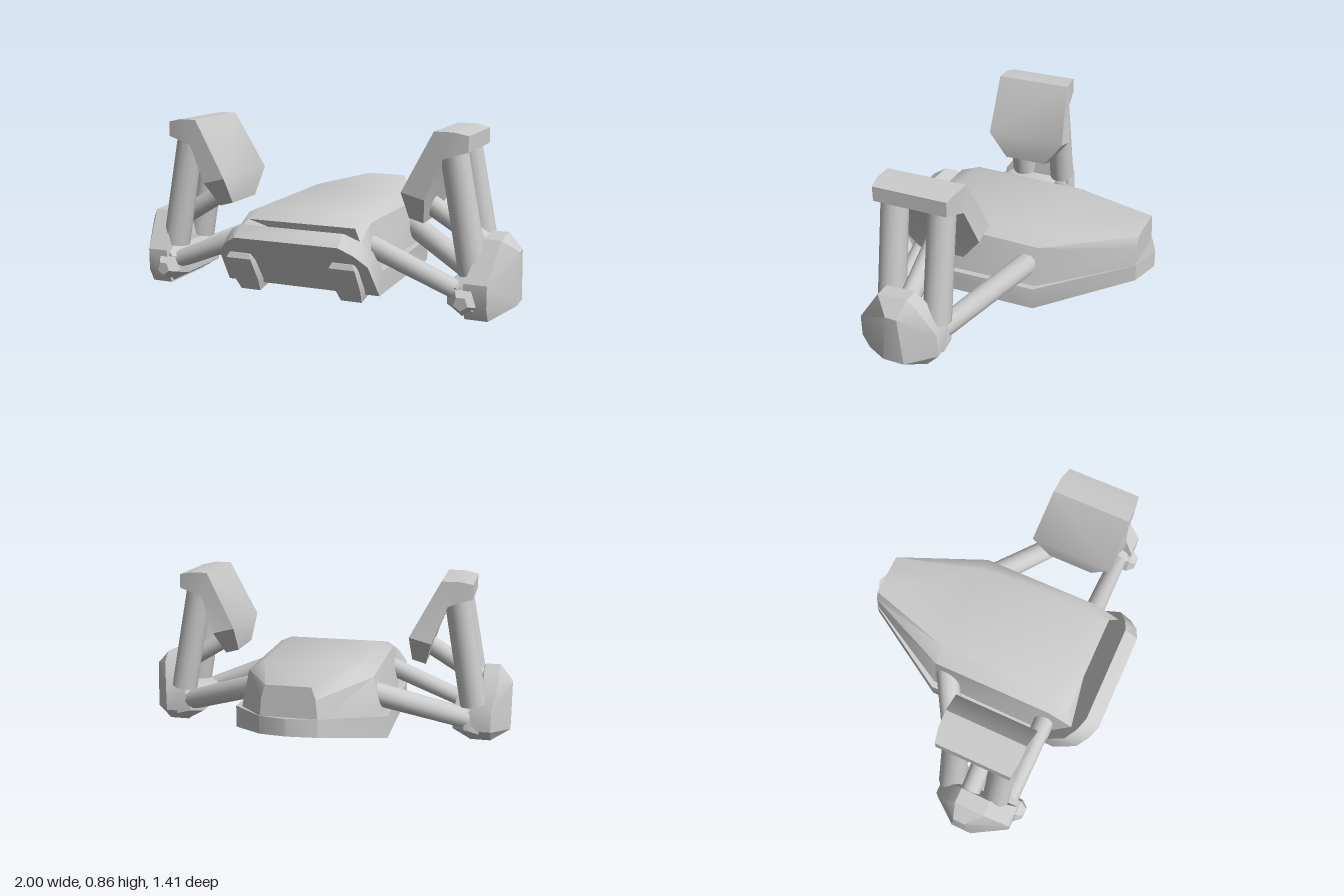
import * as THREE from 'three';
import { toCreasedNormals } from 'three/addons/utils/BufferGeometryUtils.js';
import { ConvexGeometry } from 'three/addons/geometries/ConvexGeometry.js';

const material = new THREE.MeshStandardMaterial({ color: 0xcccccc });

function add(parent, name, geometry, crease = 0.7) {
  const mesh = new THREE.Mesh(toCreasedNormals(geometry, crease), material);
  mesh.name = name;
  parent.add(mesh);
  return mesh;
}

// Skin a row of equal-length cross-sections, cap both ends, and face outwards
function loft(sections) {
  const n = sections[0].length;
  const points = sections.flat().map((p) => new THREE.Vector3(...p));
  const tris = [];
  for (let s = 0; s < sections.length - 1; s++) {
    for (let i = 0; i < n; i++) {
      const a = s * n + i, b = s * n + ((i + 1) % n);
      tris.push([a, b, b + n], [a, b + n, a + n]);
    }
  }
  const last = (sections.length - 1) * n;
  for (let i = 1; i < n - 1; i++) {
    tris.push([0, i + 1, i], [last, last + i, last + i + 1]);
  }
  let volume = 0;
  const cross = new THREE.Vector3();
  for (const [a, b, c] of tris) volume += points[a].dot(cross.crossVectors(points[b], points[c]));
  const index = tris.flatMap(([a, b, c]) => (volume < 0 ? [a, c, b] : [a, b, c]));
  const geometry = new THREE.BufferGeometry().setFromPoints(points);
  geometry.setIndex(index);
  geometry.computeVertexNormals();
  return geometry;
}

// Round bar between two points, optionally tapered
function bar(parent, name, from, to, r0, r1 = r0, sides = 12) {
  const a = new THREE.Vector3(...from), b = new THREE.Vector3(...to);
  const dir = b.clone().sub(a);
  const mesh = add(parent, name, new THREE.CylinderGeometry(r1, r0, dir.length(), sides), 0.9);
  mesh.position.copy(a).add(b).multiplyScalar(0.5);
  mesh.quaternion.setFromUnitVectors(new THREE.Vector3(0, 1, 0), dir.normalize());
  return mesh;
}

function buildBody(model) {
  // Floor slab, folded up at the nose and the tail: half width, lower z, y, upper z, y
  const floor = [
    [0.005, -0.705, 0.235, -0.705, 0.32],
    [0.14, -0.65, 0.22, -0.65, 0.308],
    [0.4, -0.2, 0.09, -0.2, 0.205],
    [0.4, 0.52, 0.085, 0.48, 0.195],
    [0.385, 0.635, 0.25, 0.565, 0.305],
    [0.33, 0.68, 0.308, 0.607, 0.362],
    [0.265, 0.705, 0.345, 0.63, 0.395],
  ];
  add(model, 'floorSlab', loft(floor.map(([w, zb, yb, zt, yt]) => [
    [-w, yb, zb], [w, yb, zb], [w, yt, zt], [-w, yt, zt],
  ])), 0.6);

  // Upper shell: three [half width, y, z] levels per station
  const shell = [
    [[0.36, 0.19, 0.46], [0.325, 0.345, 0.575], [0.28, 0.4, 0.53]],
    [[0.37, 0.19, 0.36], [0.325, 0.415, 0.44], [0.26, 0.445, 0.42]],
    [[0.37, 0.19, -0.2], [0.325, 0.405, -0.2], [0.24, 0.457, -0.2]],
    [[0.14, 0.29, -0.645], [0.13, 0.4, -0.645], [0.11, 0.46, -0.645]],
  ];
  add(model, 'upperShell', loft(shell.map((levels) => [
    ...levels,
    ...levels.map(([w, y, z]) => [-w, y, z]).reverse(),
  ])), 0.8);
}

function buildSide(s) {
  const side = new THREE.Group();
  side.name = s > 0 ? 'leftSide' : 'rightSide';
  const m = ([x, y, z]) => [x * s, y, z];
  const hull = (pts) => new ConvexGeometry(pts.map((p) => new THREE.Vector3(...m(p))));

  // Nose block lying on the sloped front: half width, rear z, y, front z, y
  const nose = [
    [0.055, 0.57, 0.25, 0.655, 0.26],
    [0.068, 0.53, 0.2, 0.665, 0.235],
    [0.068, 0.46, 0.11, 0.59, 0.115],
    [0.055, 0.45, 0.07, 0.545, 0.05],
  ];
  add(side, 'noseBlock', loft(nose.map(([w, zr, yr, zf, yf]) => [
    m([0.267 - w, yr, zr]), m([0.267 + w, yr, zr]),
    m([0.267 + w * 0.95, yf, zf]), m([0.267 - w * 0.95, yf, zf]),
  ])));

  // Struts from the body to the foot
  bar(side, 'frontStrut', m([0.3, 0.31, 0.43]), m([0.78, 0.115, 0.425]), 0.052, 0.045);
  bar(side, 'rearStrut', m([0.3, 0.31, -0.15]), m([0.78, 0.115, 0.13]), 0.06, 0.055);

  // Foot: faceted outer pod with a lower inner socket
  const profile = [
    [0.18, 0.485], [0.365, 0.355], [0.373, 0.2], [0.325, 0.145],
    [0.185, 0.07], [0.065, 0.07], [0.003, 0.13], [0.003, 0.45], [0.07, 0.485],
  ];
  const foot = profile.flatMap(([y, z]) => [
    [y > 0.3 ? 0.85 : 0.79, y, z],
    [y > 0.3 ? 0.93 : 0.9, y, z],
  ]);
  foot.push([1, 0.05, 0.2], [1, 0.05, 0.31], [1, 0.3, 0.22], [1, 0.3, 0.28]);
  add(side, 'footPod', hull(foot), 0.5);
  const socket = [];
  for (const [z0, z1] of [[0.12, 0.07], [0.43, 0.48]]) {
    socket.push([0.7, 0.06, z0], [0.7, 0.16, z0], [0.79, 0.01, z0]);
    socket.push([0.76, 0.07, z1], [0.76, 0.15, z1], [0.84, 0.2, z0], [0.84, 0.05, z1]);
  }
  add(side, 'footSocket', hull(socket), 0.5);
  bar(side, 'footNub', m([0.79, 0.095, 0.43]), m([0.79, 0.095, 0.49]), 0.065, 0.065, 5);
  bar(side, 'footNubTip', m([0.79, 0.095, 0.49]), m([0.79, 0.095, 0.525]), 0.065, 0.035, 5);

  // Twin posts carrying the panel
  for (const z of [0.118, 0.365]) {
    bar(side, 'post', m([0.805, 0.2, z]), m([0.695, 0.79, z]), 0.07, 0.066, 14);
  }
  bar(side, 'panelBrace', m([0.53, 0.5, 0.24]), m([0.86, 0.3, 0.24]), 0.05);

  // Bent panel: front face x, y, back face x, y, rear z, front z
  const panel = [
    [0.785, 0.845, 0.785, 0.77, 0.05, 0.43],
    [0.715, 0.86, 0.71, 0.75, 0.035, 0.44],
    [0.625, 0.86, 0.66, 0.73, 0.03, 0.44],
    [0.47, 0.57, 0.585, 0.54, -0.005, 0.44],
    [0.478, 0.43, 0.55, 0.41, 0.1, 0.34],
  ];
  add(side, 'panel', loft(panel.map(([xf, yf, xb, yb, z0, z1]) => [
    m([xf, yf, z0]), m([xf, yf, z1]), m([xb, yb, z1]), m([xb, yb, z0]),
  ])), 0.6);

  return side;
}

export function createModel() {
  const model = new THREE.Group();
  model.name = 'model';
  buildBody(model);
  for (const s of [1, -1]) model.add(buildSide(s));
  return model;
}
